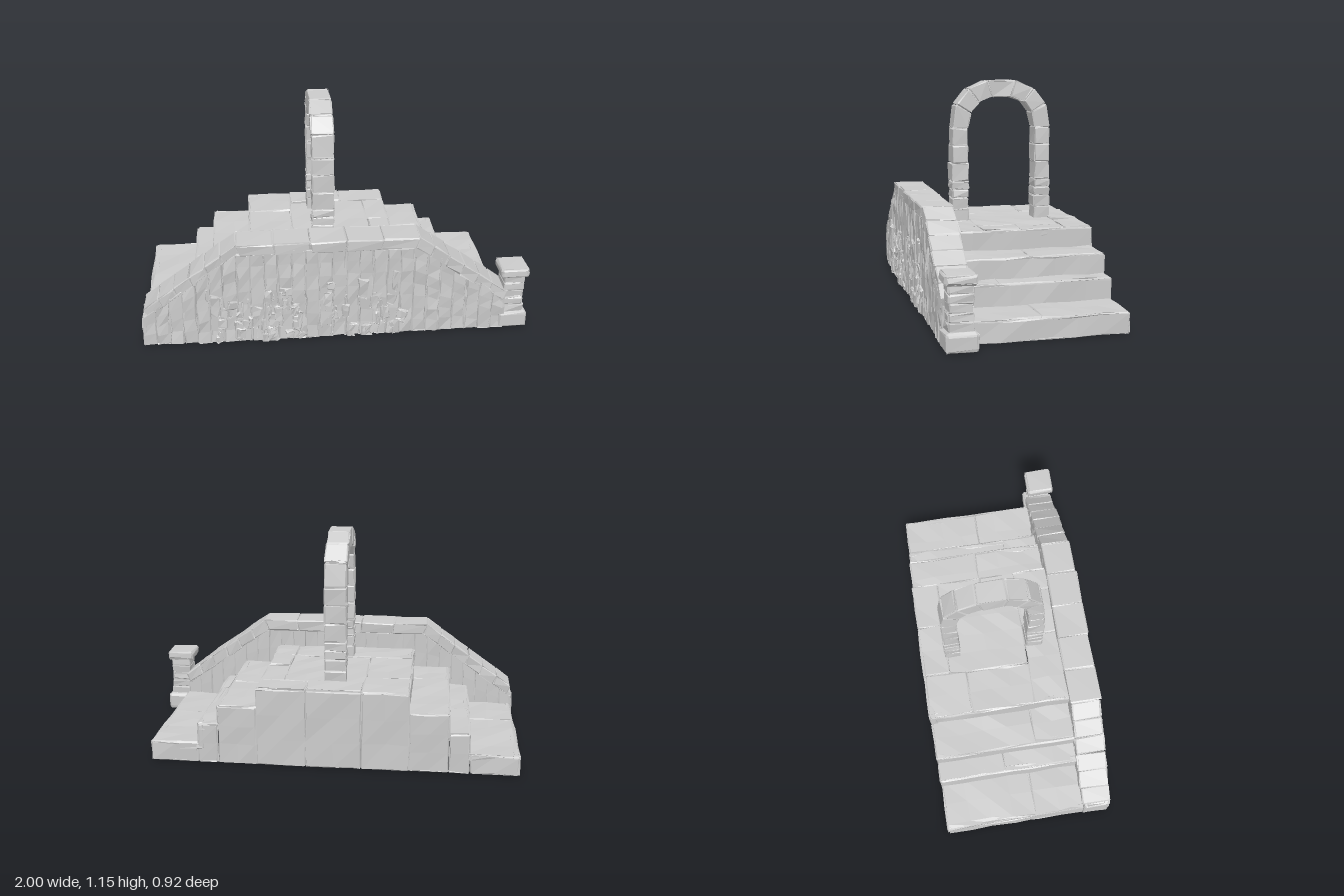
import * as THREE from 'three';

const material = new THREE.MeshStandardMaterial({ color: 0xcccccc, flatShading: true });

// Repeatable pseudo-random value in -1..1
function hash(a, b = 0, c = 0, d = 0) {
  const s = Math.sin(a * 12.9898 + b * 78.233 + c * 37.719 + d * 53.137) * 43758.5453;
  return (s - Math.floor(s)) * 2 - 1;
}

let seed = 0;

// Hewn stone: quad [bottom-left, bottom-right, top-right, top-left] in x/y,
// reaching from z0 to z1, with bevelled edges and a slightly uneven surface.
function stone(parent, name, quad, z0, z1, { bevel = 0.006, rough = 0.004, cell = 0.12 } = {}) {
  const id = ++seed;
  const [a, b, c, d] = quad.map((p) => new THREE.Vector2(...p));
  const size = [a.distanceTo(b), Math.max(a.distanceTo(d), b.distanceTo(c)), z1 - z0];
  const n = size.map((s) => 2 + Math.max(1, Math.round(s / cell)));
  const geo = new THREE.BoxGeometry(1, 1, 1, ...n);
  const pos = geo.attributes.position;
  for (let i = 0; i < pos.count; i++) {
    const k = [pos.getX(i), pos.getY(i), pos.getZ(i)].map((v, j) => Math.round((v + 0.5) * n[j]));
    const onEdge = k.filter((v, j) => v === 0 || v === n[j]).length > 1;
    const [u, v, w] = k.map((q, j) => {
      const e = Math.min(0.3, bevel / size[j]);
      const pull = onEdge ? e * 0.4 : 0;
      if (q === 0) return pull;
      if (q === n[j]) return 1 - pull;
      return e + ((q - 1) / (n[j] - 2)) * (1 - 2 * e);
    });
    const p = a.clone().lerp(b, u).lerp(d.clone().lerp(c, u), v);
    const r = [0, 1, 2].map((j) => rough * hash(k[0] + id * 3.1, k[1], k[2], j));
    pos.setXYZ(i, p.x + r[0], Math.max(0, p.y + r[1]), z0 + (z1 - z0) * w + r[2]);
  }
  geo.computeVertexNormals();
  const mesh = new THREE.Mesh(geo, material);
  mesh.name = name;
  parent.add(mesh);
}

const rect = (x0, x1, y0, y1) => [[x0, y0], [x1, y0], [x1, y1], [x0, y1]];

function group(parent, name) {
  const g = new THREE.Group();
  g.name = name;
  parent.add(g);
  return g;
}

// Hollow double stair, mirrored about its own middle
const stairMiddle = -0.055;
const stepEdges = [0.935, 0.69, 0.585, 0.385];
const stepTops = [0.105, 0.21, 0.31, 0.41];

function buildStairs(root) {
  const g = group(root, 'stairs');
  const back = -0.455, front = 0.3;
  const splits = [[-0.03], [0.1], [-0.08]];
  const span = (s, a, b) => [stairMiddle + s * a, stairMiddle + s * b].sort((p, q) => p - q);
  for (const s of [-1, 1]) {
    stepEdges.forEach((edge, i) => {
      const top = stepTops[i];
      const low = i ? stepTops[i - 1] - 0.035 : 0;
      stone(g, 'riser', rect(...span(s, edge - 0.035, edge), low, top - 0.003), back, front, { rough: 0.005 });
      if (i === 3) return;
      const cuts = [back, ...splits[i].map((z) => z * s), front];
      for (let j = 0; j + 1 < cuts.length; j++) {
        stone(g, 'tread', rect(...span(s, stepEdges[i + 1] - 0.03, edge - 0.008), top - 0.04, top),
          cuts[j], cuts[j + 1], { rough: 0.005 });
      }
      // Stepped back face below each tread
      stone(g, 'backSlab', rect(...span(s, stepEdges[i + 1], edge - 0.004), 0, top - 0.006),
        back - 0.004, back + 0.03);
    });
  }
  // Back face below the landing
  const backCuts = [-0.44, -0.2, 0.08, 0.33];
  for (let i = 0; i < 3; i++) {
    stone(g, 'backSlab', rect(backCuts[i], backCuts[i + 1], 0, 0.405), back - 0.008, back + 0.03);
  }
  // Inner panels closing half of the landing towards the parapet
  for (const [x0, x1] of [[-0.45, -0.22], [-0.22, 0.01]]) {
    stone(g, 'innerPanel', rect(x0, x1, 0, 0.38), 0.292, 0.31);
  }
  // Landing paving: x0, x1, z0, z1
  const paving = [
    [-0.435, -0.2, back, -0.23], [-0.2, 0.08, back, -0.32], [0.08, 0.325, back, -0.32],
    [-0.435, -0.21, -0.23, 0.11], [-0.21, 0.21, -0.32, 0.11], [0.21, 0.325, -0.32, -0.08],
    [0.21, 0.325, -0.08, 0.11], [-0.435, -0.05, 0.11, front], [-0.05, 0.21, 0.11, front],
    [0.21, 0.325, 0.11, front],
  ];
  paving.forEach(([x0, x1, z0, z1], i) => {
    stone(g, 'pavingSlab', rect(x0, x1, 0.37, 0.412 + 0.005 * hash(i, 4)), z0, z1, { rough: 0.005 });
  });
}

// Hollow parapet, open below: thin upright slabs in front and behind, under a coping
function buildParapet(root) {
  const g = group(root, 'parapet');
  const left = -0.995, right = 0.87, bendL = -0.5, bendR = 0.4;
  const topAt = (x) => 0.52 - 0.715 * Math.max(0, bendL - x, x - bendR);

  // Thin sheet closing the joints of the front slabs
  const outline = new THREE.Shape([
    [left + 0.01, 0], [right - 0.01, 0], [right - 0.01, topAt(right)], [bendR, 0.52],
    [bendL, 0.52], [left + 0.01, topAt(left)],
  ].map((p) => new THREE.Vector2(...p)));
  const sheet = new THREE.Mesh(
    new THREE.ExtrudeGeometry(outline, { depth: 0.012, bevelEnabled: false }), material);
  sheet.position.z = 0.408;
  sheet.name = 'parapetBacking';
  g.add(sheet);

  const count = 27, step = (right - left) / count;
  for (let i = 0; i < count; i++) {
    const x0 = left + i * step, x1 = x0 + step;
    const face = x0 < stairMiddle ? 0.437 : 0.43;
    stone(g, 'frontSlab', [[x0, 0], [x1, 0], [x1, topAt(x1)], [x0, topAt(x0)]],
      0.405, face + 0.005 * hash(i, 2), { rough: 0.006, cell: 0.07 });
    // The rear slabs only rise above the steps
    const reach = Math.abs((x0 + x1) / 2 - stairMiddle) + step / 2;
    const level = stepEdges.findLastIndex((edge) => edge > reach);
    const foot = level < 0 ? 0 : stepTops[level] - 0.045;
    stone(g, 'rearSlab', [[x0 - 0.002, foot], [x1 + 0.002, foot], [x1 + 0.002, topAt(x1)], [x0 - 0.002, topAt(x0)]],
      0.293, 0.312, { rough: 0.003 });
  }
  for (const x of [left, right - 0.025]) {
    stone(g, 'endSlab', rect(x, x + 0.025, 0, topAt(x) - 0.01), 0.295, 0.43);
  }
  // Broken chips standing proud of two weathered patches
  for (const [cx, cy, rx, ry, n, face] of [[-0.42, 0.15, 0.24, 0.15, 42, 0.447], [0.13, 0.17, 0.22, 0.16, 28, 0.437]]) {
    for (let i = 0; i < n; i++) {
      const x = cx + rx * hash(i, 5, cx), y = cy + ry * hash(i, 6, cx);
      const w = 0.016 + 0.008 * hash(i, 7), h = 0.034 + 0.014 * hash(i, 8);
      const t = 0.02 * hash(i, 9);
      stone(g, 'chip', [[x - w, y - h], [x + w, y - h + t], [x + w - t, y + h], [x - w, y + h - t]],
        0.412, face + 0.006 * hash(i, 10), { rough: 0.006, cell: 0.05 });
    }
  }
  // Coping runs: lower edge from/to, upper edge from/to, number of stones, front face
  const runs = [
    [[-0.965, 0.165], [-0.49, 0.5], [-0.985, 0.215], [-0.51, 0.56], 6, 0.434],
    [[-0.49, 0.5], [0.39, 0.5], [-0.51, 0.56], [0.41, 0.56], 5, 0.443],
    [[0.39, 0.5], [0.86, 0.165], [0.41, 0.56], [0.88, 0.22], 6, 0.434],
  ];
  const at = (p, q, t) => [p[0] + (q[0] - p[0]) * t, p[1] + (q[1] - p[1]) * t];
  for (const [b0, b1, t0, t1, n, face] of runs) {
    for (let i = 0; i < n; i++) {
      const u = i / n, v = (i + 1) / n;
      stone(g, 'copingStone', [at(b0, b1, u), at(b0, b1, v), at(t0, t1, v), at(t0, t1, u)],
        0.28 + 0.003 * hash(i, 11), face + 0.003 * hash(i, 12));
    }
  }
}

// Newel post at the foot of the parapet
function buildPost(root) {
  const g = group(root, 'post');
  stone(g, 'postBase', rect(0.84, 0.995, 0, 0.09), 0.285, 0.438, { bevel: 0.015 });
  const rows = 5, h = 0.215 / rows;
  for (let i = 0; i < rows; i++) {
    const e = 0.004 * hash(i, 13);
    stone(g, 'postCourse', rect(0.865 + e, 0.97 - e, 0.088 + i * h, 0.088 + (i + 1) * h), 0.303 + e, 0.42 - e);
  }
  stone(g, 'postCap', rect(0.842, 0.99, 0.3, 0.348), 0.288, 0.438, { bevel: 0.012 });
}

// Free-standing arch, built in x/y and turned to span along z
function buildArch(root) {
  const g = group(root, 'arch');
  const centre = -0.065, spring = 0.9, outer = 0.267, inner = 0.182;
  const courses = [0.4, 0.47, 0.53, 0.575, 0.62, 0.715, 0.81, spring];
  for (const s of [-1, 1]) {
    for (let i = 0; i + 1 < courses.length; i++) {
      const e = 0.004 * hash(i, s, 14);
      const x = [centre + s * (inner - e), centre + s * (outer + e)].sort((p, q) => p - q);
      stone(g, 'archPierStone', rect(...x, courses[i], courses[i + 1]), 0, 0.113);
    }
  }
  // Ring stones on a slightly squared curve
  const n = 7;
  const soft = (v) => Math.sign(v) * Math.abs(v) ** 0.85;
  const at = (r, h, i) => {
    const t = (i / n) * Math.PI;
    return [centre - r * soft(Math.cos(t)), spring + h * soft(Math.sin(t))];
  };
  for (let i = 0; i < n; i++) {
    stone(g, 'archStone', [at(inner, 0.168, i), at(inner, 0.168, i + 1), at(outer, 0.257, i + 1), at(outer, 0.257, i)],
      0, 0.113);
  }
  g.rotation.y = -Math.PI / 2;
}

export function createModel() {
  seed = 0;
  const root = new THREE.Group();
  root.name = 'stoneStairWithArch';
  buildStairs(root);
  buildParapet(root);
  buildPost(root);
  buildArch(root);
  return root;
}
